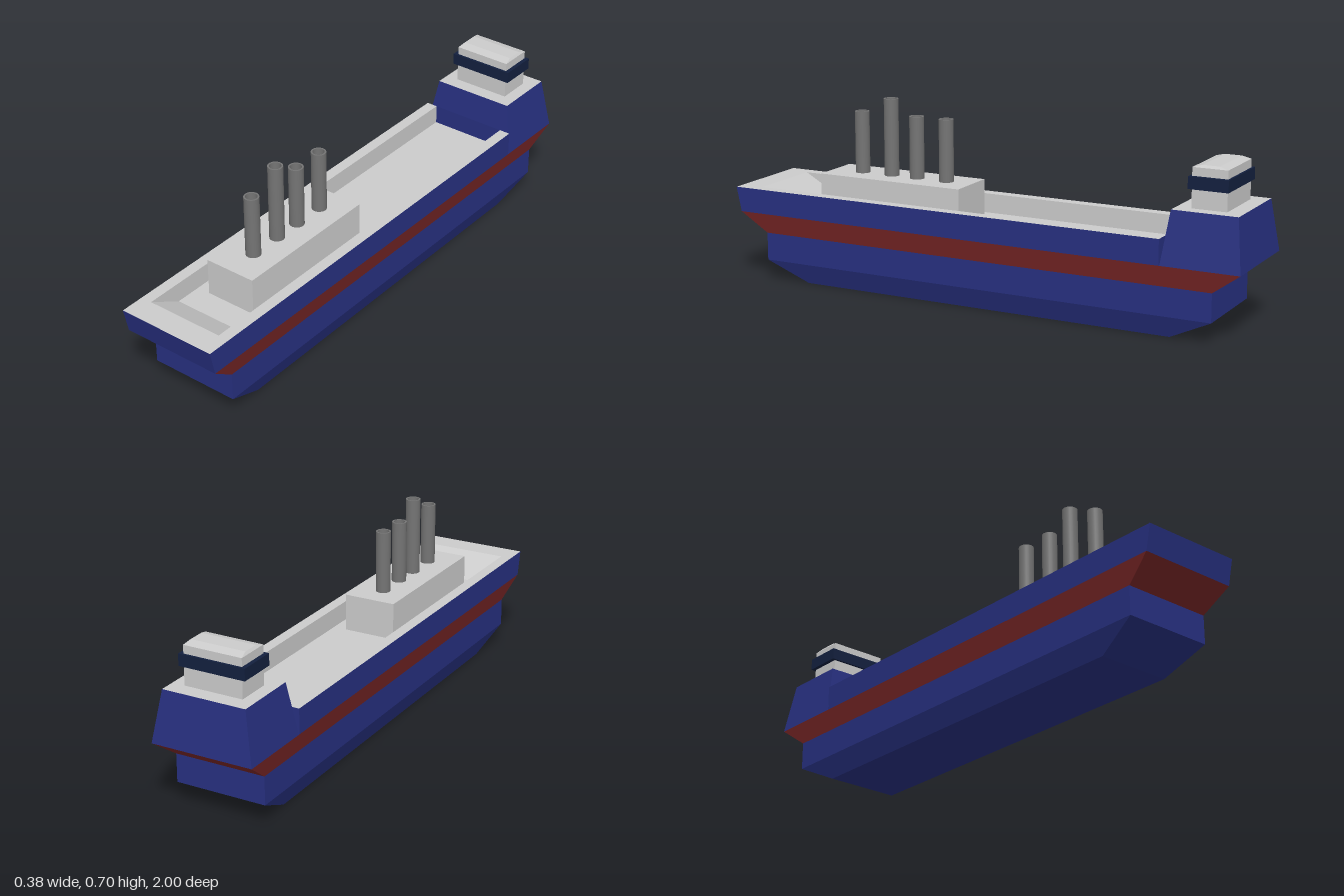
import * as THREE from 'three';

const mat = (color) => new THREE.MeshStandardMaterial({ color, side: THREE.DoubleSide });

// Flat-shaded geometry from a list of four-cornered faces
function quadGeometry(quads) {
  const pos = [];
  for (const [a, b, c, d] of quads) pos.push(...a, ...b, ...c, ...a, ...c, ...d);
  const g = new THREE.BufferGeometry();
  g.setAttribute('position', new THREE.Float32BufferAttribute(pos, 3));
  g.computeVertexNormals();
  return g;
}

// Rectangular sections [y, halfWidth, zBack, zFront] joined from bottom to top
function loft(sections, { bottom = false, top = false } = {}) {
  const rings = sections.map(([y, x, z0, z1]) => [[-x, y, z1], [x, y, z1], [x, y, z0], [-x, y, z0]]);
  const quads = [];
  for (let r = 0; r < rings.length - 1; r++) {
    for (let i = 0; i < 4; i++) {
      const j = (i + 1) % 4;
      quads.push([rings[r][i], rings[r][j], rings[r + 1][j], rings[r + 1][i]]);
    }
  }
  if (bottom) quads.push([...rings[0]].reverse());
  if (top) quads.push(rings[rings.length - 1]);
  return quadGeometry(quads);
}

export function createModel() {
  const ship = new THREE.Group();
  ship.name = 'cargoShip';

  const grey = mat(0xcccccc);
  const blue = mat(0x273080);
  const red = mat(0x7c2727);
  const glass = mat(0x13203f);
  const dark = mat(0x747474);

  const add = (name, geometry, material) => {
    const mesh = new THREE.Mesh(geometry, material);
    mesh.name = name;
    ship.add(mesh);
    return mesh;
  };

  // Hull: chamfered bottom, flared red stripe, upper sides
  add('lowerHull', loft([
    [0, 0.14, -0.735, 0.72],
    [0.078, 0.17, -0.895, 0.88],
    [0.182, 0.17, -0.895, 0.88],
  ], { bottom: true }), blue);
  add('hullStripe', loft([[0.182, 0.17, -0.895, 0.88], [0.258, 0.19, -1, 0.98]]), red);
  add('upperHull', loft([[0.258, 0.19, -0.71, 0.98], [0.35, 0.19, -0.71, 1]]), blue);

  // Sunken deck with a ramp rising to the bow
  const rim = 0.35, floor = 0.278, inX = 0.148, outX = 0.19;
  const aft = -0.71, rampFoot = 0.78, rampTop = 0.91;
  add('deck', quadGeometry([
    [[-inX, floor, rampFoot], [inX, floor, rampFoot], [inX, floor, -0.72], [-inX, floor, -0.72]],
  ]), grey);
  add('bowRamp', quadGeometry([
    [[-inX, rim, rampTop], [inX, rim, rampTop], [inX, floor, rampFoot], [-inX, floor, rampFoot]],
  ]), grey);

  // Gunwale: flat rim, inner walls and aft ends
  const rail = [[[-outX, rim, 1], [outX, rim, 1], [outX, rim, rampTop], [-outX, rim, rampTop]]];
  for (const s of [-1, 1]) {
    const top = [[s * inX, rim, rampTop], [s * outX, rim, rampTop], [s * outX, rim, aft], [s * inX, rim, aft]];
    const wall = [[s * inX, floor, rampTop], [s * inX, rim, rampTop], [s * inX, rim, aft], [s * inX, floor, aft]];
    rail.push(s > 0 ? top : top.reverse(), s > 0 ? wall : wall.reverse());
  }
  add('gunwale', quadGeometry(rail), grey);

  // Tapered stern castle with a grey top
  add('sternCastle', loft([[0.258, 0.19, -1, -0.713], [0.447, 0.157, -0.976, -0.737]]), blue);
  add('sternDeck', quadGeometry([
    [[-0.157, 0.447, -0.737], [0.157, 0.447, -0.737], [0.157, 0.447, -0.976], [-0.157, 0.447, -0.976]],
  ]), grey);

  // Bridge: cabin, window band and shallow faceted roof
  add('bridge', loft([[0.447, 0.11, -0.918, -0.791], [0.588, 0.11, -0.918, -0.791]]), grey);
  add('windowBand', loft([
    [0.515, 0.125, -0.926, -0.782],
    [0.558, 0.125, -0.926, -0.782],
  ], { bottom: true, top: true }), glass);
  add('bridgeRoof', loft([
    [0.588, 0.11, -0.918, -0.791],
    [0.597, 0.103, -0.885, -0.824],
  ], { top: true }), grey);

  // Deckhouse
  const house = add('deckhouse', new THREE.BoxGeometry(0.196, 0.415 - floor, 0.58), grey);
  house.position.set(0, (0.415 + floor) / 2, 0.392);

  // Four hollow funnels
  for (const [z, top] of [[0.56, 0.645], [0.435, 0.702], [0.328, 0.645], [0.205, 0.645]]) {
    const h = top - 0.415;
    const funnel = new THREE.Group();
    funnel.name = 'funnel';
    funnel.position.set(0, 0.415, z);
    const outer = new THREE.Mesh(new THREE.CylinderGeometry(0.027, 0.027, h, 24, 1, true), dark);
    outer.name = 'funnelWall';
    outer.position.y = h / 2;
    const lip = new THREE.Mesh(new THREE.RingGeometry(0.021, 0.027, 24).rotateX(-Math.PI / 2), dark);
    lip.name = 'funnelLip';
    lip.position.y = h;
    const bore = new THREE.Mesh(new THREE.CylinderGeometry(0.021, 0.021, h, 24, 1, true), dark);
    bore.name = 'funnelBore';
    bore.position.y = h / 2;
    funnel.add(outer, lip, bore);
    ship.add(funnel);
  }

  return ship;
}
